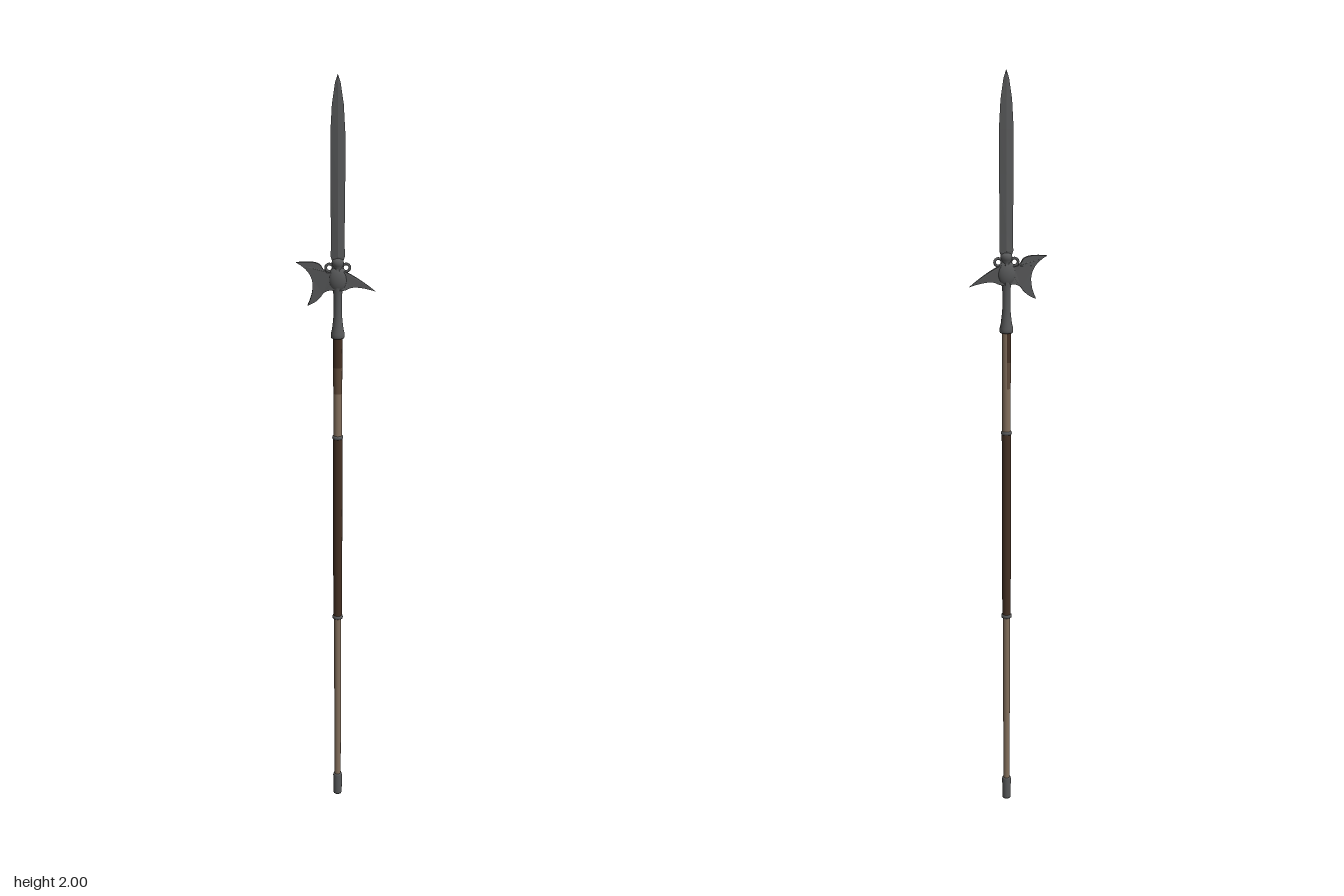
import * as THREE from 'three';

const material = (name, color) => {
  const m = new THREE.MeshStandardMaterial({ color });
  m.name = name;
  return m;
};

export function createModel() {
  const steel = material('dark steel', 0x58595a);
  const wood = material('worn wood', 0x84705d);
  const midWood = material('shaded wood', 0x5f4a3a);
  const leather = material('dark leather grip', 0x453124);

  const model = new THREE.Group();
  model.name = 'polearm';
  // Everything hangs on the pole axis, slightly left of the centre of the bounds
  const weapon = new THREE.Group();
  weapon.name = 'weapon';
  weapon.position.x = 0.002;
  model.add(weapon);

  const add = (name, geometry, mat) => {
    const mesh = new THREE.Mesh(geometry, mat);
    mesh.name = name;
    weapon.add(mesh);
    return mesh;
  };
  // Turned part from [radius, height] pairs, over an arc given in degrees from the front
  const turned = (name, points, mat, from = 0, to = 360) => {
    const sides = Math.ceil((to - from) / 22.5);
    const profile = points.map(p => new THREE.Vector2(...p));
    return add(name, new THREE.LatheGeometry(profile, sides,
      THREE.MathUtils.degToRad(from), THREE.MathUtils.degToRad(to - from)), mat);
  };

  // Lower pole and leather grip between two rings
  turned('buttCap', [[0, 0], [0.011, 0], [0.012, 0.004], [0.0125, 0.06], [0.011, 0.065], [0.008, 0.065]], steel);
  turned('lowerShaft', [[0.009, 0.06], [0.0098, 0.56]], wood);
  turned('grip', [[0.0115, 0.56], [0.0125, 0.8], [0.0125, 1.08]], leather);
  for (const y of [0.56, 1.08]) {
    turned('gripRing', [[0.009, y - 0.006], [0.0135, y - 0.004], [0.0145, y], [0.0135, y + 0.004], [0.009, y + 0.006]], steel);
  }

  // Upper pole darkens towards the head, except for a worn strip at the back
  turned('upperShaft', [[0.0115, 1.08], [0.0115, 1.2]], wood);
  turned('upperShaftMiddle', [[0.0115, 1.2], [0.012, 1.27]], midWood, -180, 90);
  turned('upperShaftTop', [[0.012, 1.27], [0.012, 1.355]], leather, -180, 90);
  turned('upperShaftWear', [[0.0115, 1.2], [0.012, 1.27], [0.012, 1.355]], wood, 90, 180);

  // Flared socket and neck
  turned('socket', [[0.011, 1.348], [0.0165, 1.348], [0.018, 1.352], [0.0175, 1.36], [0.015, 1.37], [0.0125, 1.39],
    [0.0105, 1.41], [0.0105, 1.455], [0.012, 1.47], [0.0125, 1.48]], steel);

  // Swollen hub that carries the axe and the beak
  const hub = add('hub', new THREE.SphereGeometry(1, 20, 14), steel);
  hub.scale.set(0.025, 0.034, 0.0155);
  hub.position.y = 1.5;
  turned('collar', [[0.009, 1.515], [0.0105, 1.53], [0.0145, 1.536], [0.0155, 1.543], [0.0135, 1.55], [0.005, 1.554], [0, 1.554]], steel);

  // Flat forged plate whose half thickness follows its distance from the pole
  const plate = (name, draw, thickness) => {
    const shape = new THREE.Shape();
    draw(shape);
    const g = new THREE.ExtrudeGeometry(shape, { depth: 2, bevelEnabled: false, curveSegments: 10 });
    g.translate(0, 0, -1);
    const p = g.attributes.position;
    for (let i = 0; i < p.count; i++) p.setZ(i, p.getZ(i) * thickness(p.getX(i)));
    g.computeVertexNormals();
    return add(name, g, steel);
  };

  // Crescent axe blade on the right
  plate('axeBlade', s => {
    s.moveTo(0.005, 1.525);
    s.quadraticCurveTo(-0.03, 1.508, -0.042, 1.535);
    s.quadraticCurveTo(-0.052, 1.55, -0.105, 1.544);
    s.quadraticCurveTo(-0.04, 1.51, -0.077, 1.434);
    s.quadraticCurveTo(-0.05, 1.443, -0.038, 1.464);
    s.quadraticCurveTo(-0.025, 1.478, 0.005, 1.472);
  }, x => 0.005 + 0.006 * Math.max(0, 1 + x / 0.035));

  // Downturned beak on the left
  plate('beak', s => {
    s.moveTo(-0.005, 1.53);
    s.quadraticCurveTo(0.045, 1.511, 0.097, 1.468);
    s.quadraticCurveTo(0.05, 1.484, 0.03, 1.478);
    s.quadraticCurveTo(0.012, 1.468, -0.005, 1.473);
  }, x => x > 0.03 ? 0.0005 + 0.0055 * (0.097 - x) / 0.067 : 0.006 + 0.005 * (0.03 - x) / 0.035);

  // Small curls between hub and collar
  for (const side of [-1, 1]) {
    const curl = add('curl', new THREE.TorusGeometry(0.0095, 0.0035, 8, 16), steel);
    curl.position.set(side * 0.021, 1.53, 0);
  }

  // Diamond-section spear blade: [half width, half thickness, height]
  const sections = [[0.014, 0.006, 1.546], [0.018, 0.0055, 1.558], [0.017, 0.005, 1.6], [0.0185, 0.0045, 1.75],
    [0.0185, 0.004, 1.86], [0.0145, 0.003, 1.93], [0.007, 0.002, 1.98], [0.0005, 0.0005, 2]];
  const corners = [];
  const ring = ([w, t, y]) => [[w, y, 0], [0, y, t], [-w, y, 0], [0, y, -t]];
  for (let i = 0; i < sections.length - 1; i++) {
    const a = ring(sections[i]), b = ring(sections[i + 1]);
    for (let k = 0; k < 4; k++) {
      const n = (k + 1) % 4;
      corners.push(a[k], b[k], b[n], a[k], b[n], a[n]);
    }
  }
  const blade = new THREE.BufferGeometry();
  blade.setAttribute('position', new THREE.Float32BufferAttribute(corners.flat(), 3));
  blade.computeVertexNormals();
  add('spearBlade', blade, steel);

  return model;
}
